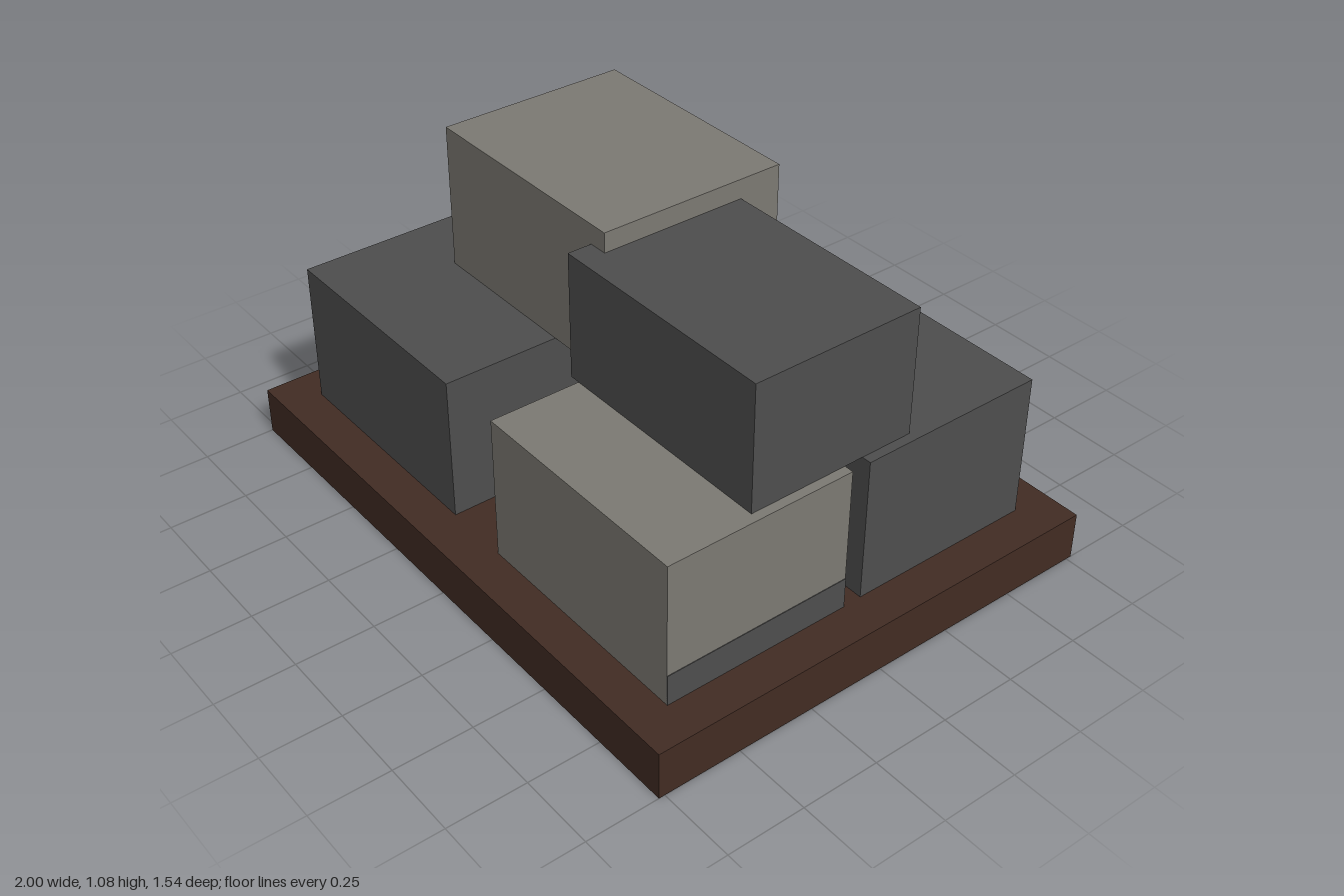
import * as THREE from 'three';

export function createModel() {
  const mat = (name, color) => {
    const m = new THREE.MeshStandardMaterial({ color });
    m.name = name;
    return m;
  };
  const wood = mat('dark brown wood', 0x422c23);
  const dark = mat('charcoal', 0x4e4e4e);
  const light = mat('warm grey', 0x7c7a73);

  const group = new THREE.Group();
  group.name = 'crateStack';

  // Box from centre x/z, bottom y and size [w, h, d]
  const addBox = (name, [x, y, z], [w, h, d], material) => {
    const mesh = new THREE.Mesh(new THREE.BoxGeometry(w, h, d), material);
    mesh.name = name;
    mesh.position.set(x, y + h / 2, z);
    group.add(mesh);
    return mesh;
  };

  // Pale crates are pale on +x, top and front; charcoal on the other faces
  const pale = [light, dark, light, dark, light, dark];

  const baseH = 0.155;
  const big = [0.766, 0.462, 0.614];
  const upperY = baseH + big[1];
  const cx = 0.492, cz = 0.338;

  // Pallet base
  addBox('base', [0, 0, 0], [2, baseH, 1.538], wood);

  // Lower layer
  addBox('frontLeftSideCrate', [cx, baseH, cz], big, pale);
  addBox('frontRightSideCrate', [-cx, baseH, cz], big, dark);
  addBox('backLeftSideCrate', [cx, baseH, -cz], big, dark);
  addBox('backRightSideCrate', [-cx, baseH, -cz], big, pale);

  // Dark band along the foot of the front pale crate
  addBox('crateFootBand', [cx + big[0] / 2, baseH, cz], [0.004, 0.1, big[2]], dark);

  // Upper layer
  addBox('upperPaleCrate', [-0.248, upperY, -0.033], big, pale);
  addBox('upperDarkCrate', [0.46, upperY, 0.075], [0.77, 0.4, 0.553], dark);

  return group;
}
